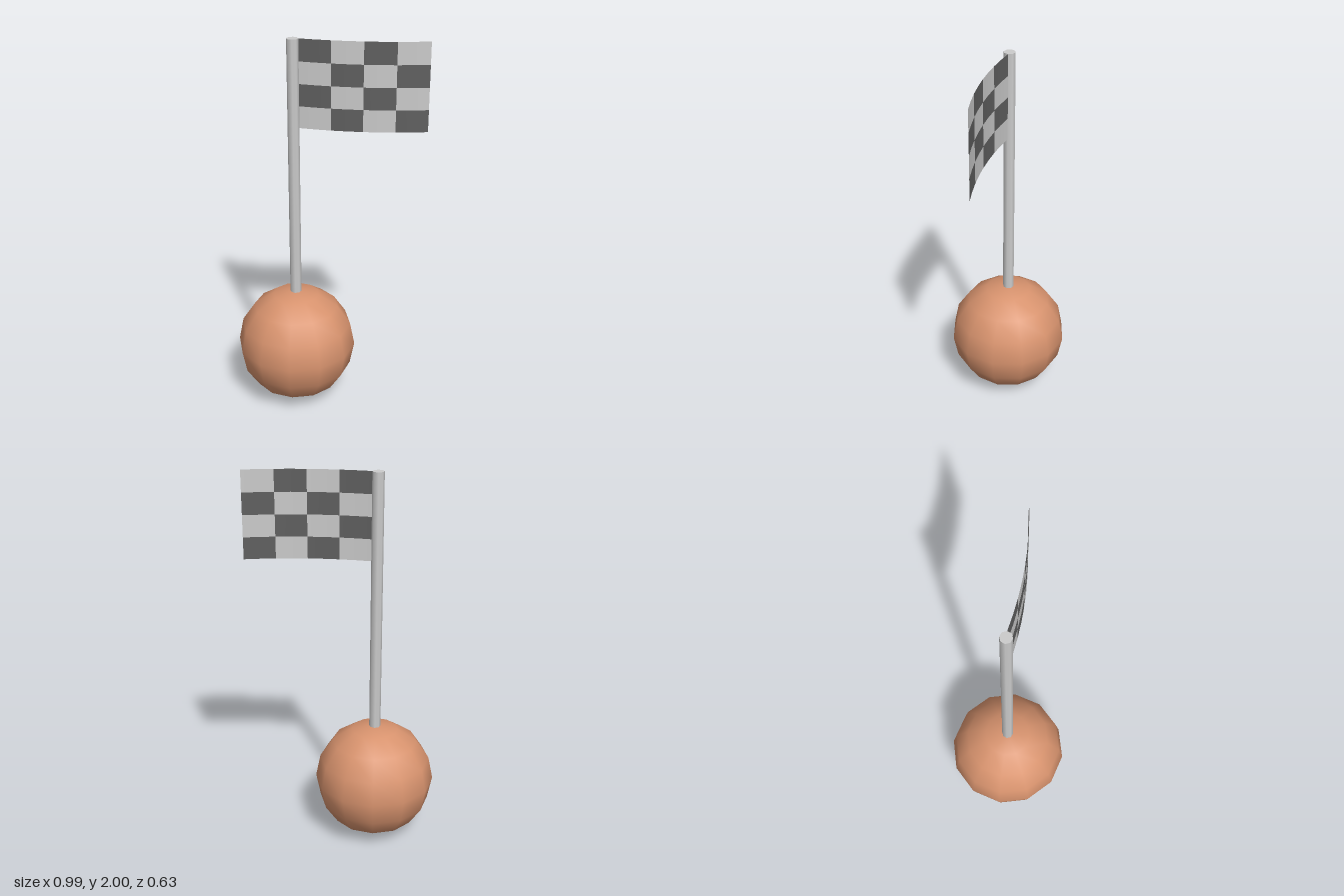
import * as THREE from 'three';

const POLE_X = -0.176, BALL_R = 0.317, POLE_R = 0.03;
const FLAG = { x0: -0.146, x1: 0.492, y0: 1.547, y1: 2, bulge: 0.03, cols: 4, rows: 4 };

// One square of the cloth, bent along the shared arc that bows forward
function flagSquare(col, row) {
  const w = (FLAG.x1 - FLAG.x0) / FLAG.cols;
  const h = (FLAG.y1 - FLAG.y0) / FLAG.rows;
  const geo = new THREE.PlaneGeometry(w, h, 2, 1);
  geo.translate(FLAG.x0 + (col + 0.5) * w, FLAG.y1 - (row + 0.5) * h, 0);
  const pos = geo.attributes.position, nor = geo.attributes.normal;
  for (let i = 0; i < pos.count; i++) {
    const t = (pos.getX(i) - FLAG.x0) / (FLAG.x1 - FLAG.x0);
    pos.setZ(i, FLAG.bulge * 4 * t * (1 - t));
    const slope = FLAG.bulge * 4 * (1 - 2 * t) / (FLAG.x1 - FLAG.x0);
    const n = new THREE.Vector3(-slope, 0, 1).normalize();
    nor.setXYZ(i, n.x, n.y, n.z);
  }
  return geo;
}

export function createModel() {
  const model = new THREE.Group();
  const grey = new THREE.MeshStandardMaterial({ color: 0xcccccc });
  const clay = new THREE.MeshStandardMaterial({ color: 0xd8936e });
  const light = new THREE.MeshStandardMaterial({ color: 0xcccccc, side: THREE.DoubleSide });
  const dark = new THREE.MeshStandardMaterial({ color: 0x606060, side: THREE.DoubleSide });

  // Round base
  const ball = new THREE.Mesh(new THREE.SphereGeometry(BALL_R, 12, 8), clay);
  ball.name = 'ballBase';
  ball.position.set(POLE_X, BALL_R, 0);
  model.add(ball);

  // Pole, set slightly into the ball
  const bottom = 0.62;
  const pole = new THREE.Mesh(new THREE.CylinderGeometry(POLE_R, POLE_R, 2 - bottom, 8), grey);
  pole.name = 'pole';
  pole.position.set(POLE_X, (2 + bottom) / 2, 0);
  model.add(pole);

  // Chequered flag
  const flag = new THREE.Group();
  flag.name = 'flag';
  for (let row = 0; row < FLAG.rows; row++) {
    for (let col = 0; col < FLAG.cols; col++) {
      const isDark = (row + col) % 2 === 0;
      const square = new THREE.Mesh(flagSquare(col, row), isDark ? dark : light);
      square.name = isDark ? 'darkSquare' : 'lightSquare';
      flag.add(square);
    }
  }
  model.add(flag);
  return model;
}
